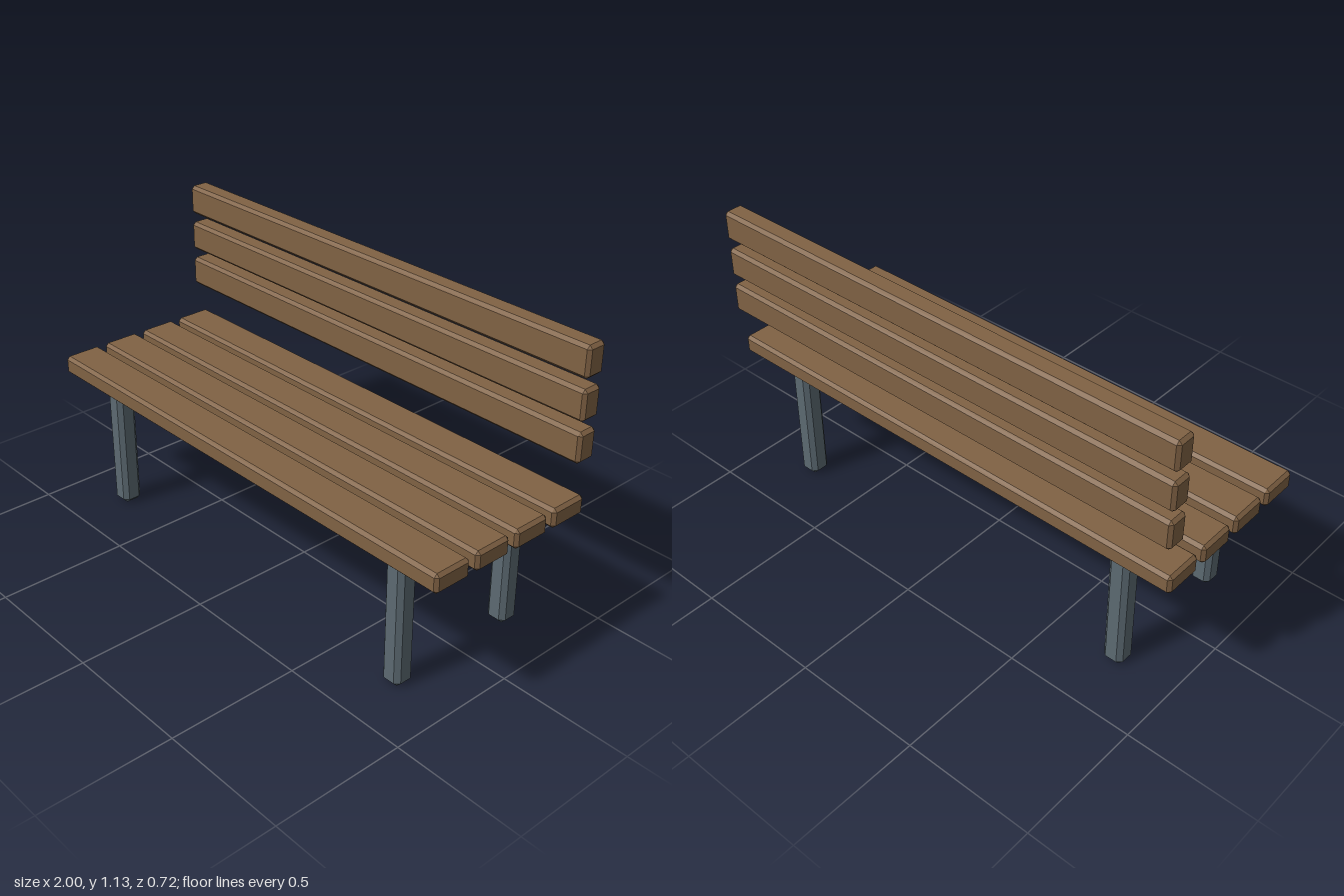
import * as THREE from 'three';
import { ConvexGeometry } from 'three/addons/geometries/ConvexGeometry.js';

const wood = new THREE.MeshStandardMaterial({ color: 0x806244, flatShading: true });
const steel = new THREE.MeshStandardMaterial({ color: 0x5c6a72, flatShading: true });

// Box with every edge cut back by c: each face is an inset rectangle.
function chamferedBox(w, h, d, c) {
  const [x, y, z] = [w / 2, h / 2, d / 2];
  const points = [];
  for (const sx of [-1, 1]) for (const sy of [-1, 1]) for (const sz of [-1, 1]) {
    points.push(
      new THREE.Vector3(sx * x, sy * (y - c), sz * (z - c)),
      new THREE.Vector3(sx * (x - c), sy * y, sz * (z - c)),
      new THREE.Vector3(sx * (x - c), sy * (y - c), sz * z)
    );
  }
  return new ConvexGeometry(points);
}

export function createModel() {
  const bench = new THREE.Group();
  bench.name = 'bench';

  const add = (name, geometry, material, x, y, z) => {
    const mesh = new THREE.Mesh(geometry, material);
    mesh.name = name;
    mesh.position.set(x, y, z);
    bench.add(mesh);
  };

  // Four seat slats, front to back
  const seatSlat = chamferedBox(2, 0.074, 0.151, 0.012);
  for (let i = 0; i < 4; i++) {
    add(`seatSlat${i + 1}`, seatSlat, wood, 0, 0.543, 0.286 - i * 0.182);
  }

  // Three backrest slats, bottom to top
  const backSlat = chamferedBox(2, 0.116, 0.081, 0.012);
  for (let i = 0; i < 3; i++) {
    add(`backSlat${i + 1}`, backSlat, wood, 0, 0.767 + i * 0.1525, -0.32);
  }

  // Four legs, their tops let into the seat slats
  const legHeight = 0.54;
  const leg = chamferedBox(0.08, legHeight, 0.08, 0.017);
  for (const [side, x] of [['Left', 0.765], ['Right', -0.765]]) {
    add(`front${side}Leg`, leg, steel, x, legHeight / 2, 0.269);
    add(`back${side}Leg`, leg, steel, x, legHeight / 2, -0.25);
  }

  return bench;
}
